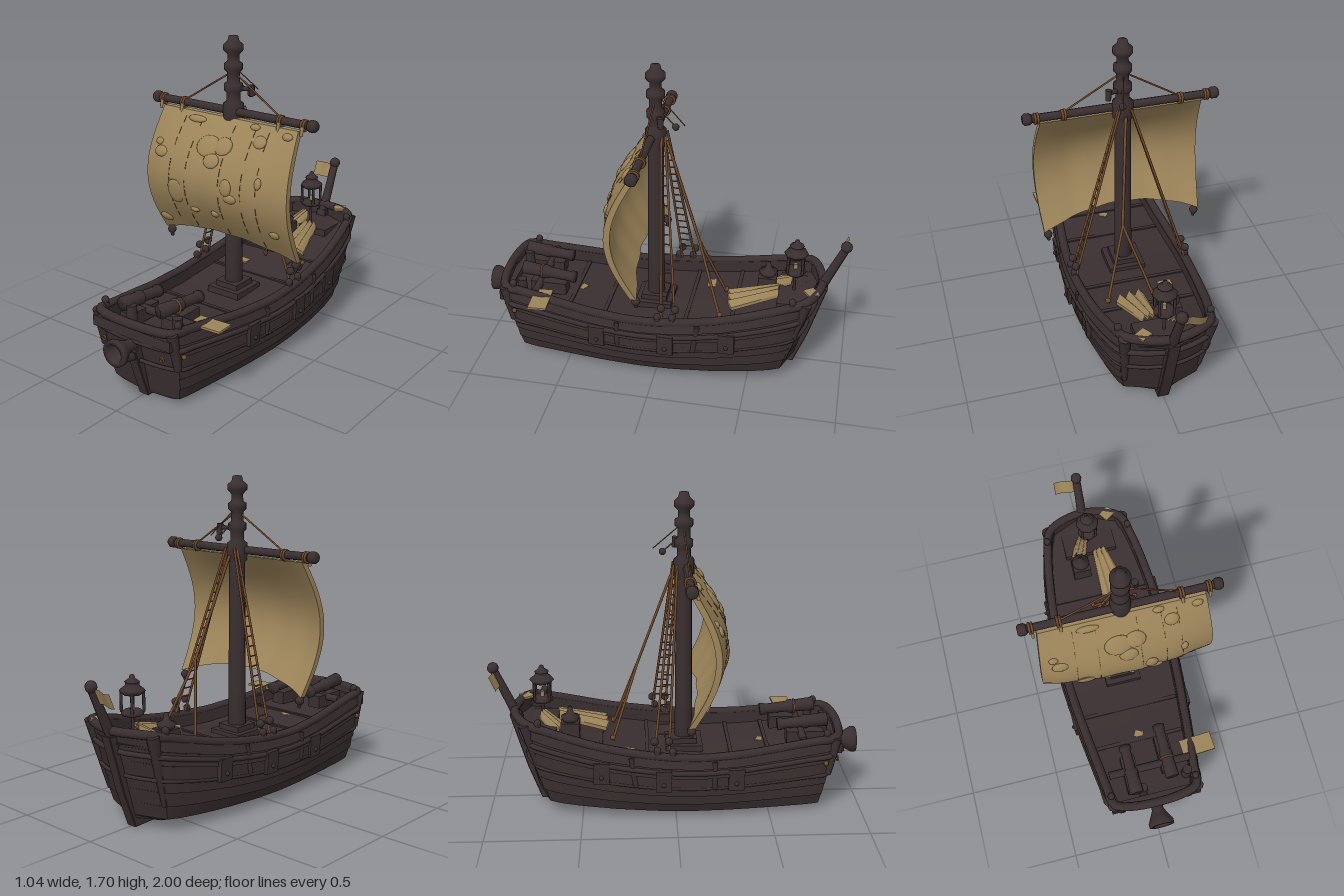
import * as THREE from 'three';

const V = (x, y, z) => new THREE.Vector3(x, y, z);
const lerp = THREE.MathUtils.lerp;

// Piecewise linear lookup in [t, value] pairs
function look(keys, t) {
  for (let i = 1; i < keys.length; i++) {
    const [a, va] = keys[i - 1], [b, vb] = keys[i];
    if (t <= b) return lerp(va, vb, (t - a) / (b - a));
  }
  return keys[keys.length - 1][1];
}

// Hull lines: half width and sheer from stern (0) to bow (1), flare from keel to rail
const WIDTH = [[0, .23], [.04, .26], [.12, .29], [.25, .32], [.4, .338], [.52, .338], [.65, .322], [.8, .295], [.96, .262], [1, .245]];
const SHEER = [[0, .53], [.1, .485], [.25, .42], [.4, .38], [.55, .36], [.7, .37], [.85, .4], [1, .43]];
const FLARE = [[0, .78], [.08, .87], [.25, .93], [.5, .98], [.75, 1.01], [1, .98]];
const width = t => look(WIDTH, t), sheer = t => look(SHEER, t);
const keel = t => .02 + .035 * (1 - t) ** 2;
const hullZ = (t, f) => lerp(lerp(-.67, -.79, f), lerp(.77, .85, f), t);
const hullPoint = (t, f, out = 0, s = 1) =>
  V(s * (width(t) * look(FLARE, f) + out), lerp(keel(t), sheer(t), f), hullZ(t, f));
const tAt = z => (z + .79) / 1.64;

function hullGeometry() {
  const pos = [];
  const quad = (flip, a, b, c, d) => {
    for (const p of flip ? [a, c, b, a, d, c] : [a, b, c, a, c, d]) pos.push(p.x, p.y, p.z);
  };
  // Half section: flat bottom, overlapping planks, rail and deck
  const section = (t, s) => {
    const p = [V(0, keel(t), hullZ(t, 0)), hullPoint(t, 0, -.03, s)];
    const steps = [.04, .2, .36, .52, .68, .84];
    steps.forEach((f, i) => p.push(hullPoint(t, f, .01, s), hullPoint(t, (steps[i + 1] ?? 1) - .005, .002, s)));
    const inner = hullPoint(t, 1, -.04, s), deck = inner.clone();
    deck.y -= .065;
    p.push(inner, deck, V(0, deck.y + .005, deck.z));
    return p;
  };
  const N = 32;
  for (const s of [1, -1]) {
    const rings = Array.from({ length: N + 1 }, (_, i) => section(i / N, s));
    for (let i = 0; i < N; i++)
      for (let j = 0; j < rings[0].length - 1; j++)
        quad(s < 0, rings[i][j], rings[i][j + 1], rings[i + 1][j + 1], rings[i + 1][j]);
    for (const [ring, bulge, bow] of [[rings[0], -.075, false], [rings[N], .02, true]])
      for (let j = 0; j < ring.length - 1; j++) {
        const a = ring[j], b = ring[j + 1];
        quad(bow !== s < 0, a, V(0, a.y, a.z + bulge), V(0, b.y, b.z + bulge), b);
      }
  }
  const g = new THREE.BufferGeometry();
  g.setAttribute('position', new THREE.Float32BufferAttribute(pos, 3));
  g.computeVertexNormals();
  return g;
}

// Point on the billowed sail, u across -1..1, v from foot to head 0..1
const sailPoint = (u, v) => V(
  u * (.425 + .03 * Math.sin(Math.PI * Math.min(1, v * .8 + .15))),
  1.285 - (1 - v) * (.7 - .085 * (1 - u * u)),
  .075 + (.13 + .025 * (1 - u * u)) * Math.sin(Math.PI * v) + (1 - v) * (.06 * (1 - u * u) + .004 * Math.sin(u * 14)));

export function createModel() {
  const root = new THREE.Group();
  const mat = (name, color, extra) => Object.assign(new THREE.MeshStandardMaterial({ color, ...extra }), { name });
  const timber = mat('dark timber', 0x3a2f30);
  const canvas = mat('canvas', 0x9c8459, { side: THREE.DoubleSide });
  const rope = mat('rope', 0x724b2c);
  const stitch = mat('stitching', 0x6f5b39);

  const add = (name, geo, m, p = [0, 0, 0], r = [0, 0, 0]) => {
    const mesh = new THREE.Mesh(geo, m);
    mesh.name = name;
    mesh.position.set(...p);
    mesh.rotation.set(...r);
    root.add(mesh);
    return mesh;
  };
  const box = (name, m, size, p, r) => add(name, new THREE.BoxGeometry(...size), m, p, r);
  const ball = (name, m, r, p) => add(name, new THREE.SphereGeometry(r, 10, 8), m, p);
  const rod = (name, m, a, b, r0, r1 = r0, sides = 8) => {
    const d = b.clone().sub(a);
    const mesh = add(name, new THREE.CylinderGeometry(r1, r0, d.length(), sides), m, a.clone().add(b).multiplyScalar(.5).toArray());
    mesh.quaternion.setFromUnitVectors(V(0, 1, 0), d.normalize());
  };
  const lathe = (name, m, pts, p, r, sides = 16) =>
    add(name, new THREE.LatheGeometry(pts.map(q => new THREE.Vector2(...q)), sides), m, p, r);

  // Hull with rail and wales running all the way round
  add('hull', hullGeometry(), timber);
  const band = (name, f, r, out) => {
    const pts = [];
    for (let i = 0; i <= 14; i++) pts.push(hullPoint(i / 14, f, out));
    for (let i = 14; i >= 0; i--) pts.push(hullPoint(i / 14, f, out, -1));
    pts.push(V(0, lerp(keel(0), sheer(0), f), hullZ(0, f) - .07));
    add(name, new THREE.TubeGeometry(new THREE.CatmullRomCurve3(pts, true, 'centripetal'), 120, r, 8, true), timber);
  };
  band('rail', 1, .024, -.015);
  band('upperWale', .77, .014, .002);
  band('lowerWale', .5, .01, .004);

  // Stem and rudder blades, each with a squared foot
  const blade = (name, pts) => {
    const shape = new THREE.Shape(pts.map(([z, y]) => new THREE.Vector2(-z, y)));
    add(name, new THREE.ExtrudeGeometry(shape, { depth: .056, bevelEnabled: true, bevelSize: .004, bevelThickness: .004, bevelSegments: 1 }),
      timber, [-.028, 0, 0], [0, Math.PI / 2, 0]);
  };
  blade('stem', [[.695, .008], [.795, .008], [.825, .1], [.88, .28], [.85, .32], [.75, .1], [.695, .04]]);
  blade('rudder', [[-.615, .012], [-.73, .008], [-.8, .2], [-.885, .5], [-.83, .5], [-.73, .12], [-.615, .055]]);

  // Hatches, straps and rail posts along both sides
  for (const s of [1, -1]) {
    for (const z of [.2, -.24]) {
      const t = tAt(z);
      rod('sideStrap', timber, hullPoint(t, .5, .004, s), hullPoint(t, .95, .002, s), .016, .016, 6);
    }
    for (const z of [.32, -.08, -.42]) {
      const p = hullPoint(tAt(z), .64, .008, s);
      box('sideHatch', timber, [.03, .12, .085], p.toArray(), [0, 0, -s * .05]);
      ball('hatchBolt', timber, .012, [p.x + s * .016, p.y - .02, p.z]);
    }
    for (const z of [-.72, -.1, -.02, .8]) {
      const p = hullPoint(tAt(z), 1, -.015, s);
      rod('railPost', timber, p, p.clone().add(V(0, .03, 0)), .02, .017);
      ball('railKnob', timber, .02, [p.x, p.y + .035, p.z]);
    }
    // Corner posts of bow and stern
    rod('bowCorner', timber, hullPoint(1, .5, 0, s), hullPoint(1, 1, 0, s), .02, .03);
    rod('sternCorner', timber, hullPoint(0, .2, -.01, s), hullPoint(0, 1, 0, s), .014, .033);
    add('bowRing', new THREE.TorusGeometry(.012, .005, 6, 12), rope, [s * .19, .29, .87]);
    ball('sideRopeKnot', rope, .013, hullPoint(tAt(.82), .68, .015, s).toArray());
  }

  // Deck beams, bow beam and mast step
  for (const z of [-.4, -.15, .3, .5]) {
    const t = tAt(z);
    box('deckBeam', timber, [2 * width(t) - .1, .01, .02], [0, sheer(t) - .06, z]);
  }
  box('bowBeam', timber, [.5, .055, .05], [0, .375, .855]);
  box('mastStepBase', timber, [.2, .04, .2], [0, .315, .05]);
  box('mastStep', timber, [.14, .05, .14], [0, .34, .05]);

  // Bow trumpet muzzle, open toward the front
  lathe('bowMuzzle', timber, [[.03, 0], [.034, .05], [.055, .09], [.07, .115], [.07, .14], [.048, .14], [.035, .09], [0, .08]],
    [0, .315, .86], [Math.PI / 2, 0, 0]);
  rod('muzzleBrace', timber, V(0, .25, .85), V(0, .265, .94), .028, .024);

  // Deck guns at the bow
  for (const [x, z, len] of [[-.1, .55, .27], [.11, .48, .3]]) {
    lathe('deckGun', timber, [[0, 0], [.033, 0], [.033, .025], [.027, .03], [.03, len * .5], [.037, len * .52], [.037, len * .6], [.033, len * .62], [.038, len], [0, len]],
      [x, .455, z], [Math.PI / 2 - .1, 0, 0]);
    box('gunCarriage', timber, [.08, .07, .2], [x, .39, z + .15]);
  }
  add('gunRope', new THREE.TorusGeometry(.036, .006, 6, 16), rope, [.11, .472, .67]);
  rod('gunCrossbar', timber, V(-.22, .41, .68), V(.24, .41, .68), .022);
  rod('bowBollard', timber, V(-.06, .37, .8), V(-.06, .48, .8), .03, .026);
  rod('bowBollard', timber, V(.2, .37, .76), V(.2, .47, .76), .03, .026);

  // Mast with collars and cap
  lathe('mast', timber, [[0, .3], [.05, .3], [.046, .6], [.042, 1.25], [.055, 1.265], [.055, 1.35], [.036, 1.365], [.036, 1.41], [.048, 1.42],
    [.048, 1.455], [.033, 1.465], [.033, 1.515], [.048, 1.53], [.048, 1.56], [.032, 1.57], [.03, 1.605], [.052, 1.63], [.052, 1.655],
    [.03, 1.675], [.024, 1.7], [0, 1.705]], [0, 0, .05]);

  // Yard with end knobs and lashings
  rod('yard', timber, V(-.51, 1.315, .065), V(.51, 1.315, .065), .022);
  for (const s of [1, -1]) {
    lathe('yardEnd', timber, [[0, 0], [.024, 0], [.031, .012], [.031, .036], [.022, .048], [0, .048]], [s * .472, 1.315, .065], [0, 0, -s * Math.PI / 2]);
    for (const x of [.31, .45]) {
      for (const o of [-.01, .004])
        add('yardLashing', new THREE.TorusGeometry(.025, .007, 6, 14), rope, [s * x + o, 1.312, .065], [0, Math.PI / 2, 0]);
      rod('sailTie', canvas, V(s * x, 1.31, .088), V(s * x, 1.265, .1), .01, .008, 6);
    }
    rod('yardLift', rope, V(0, 1.52, .05), V(s * .31, 1.325, .065), .005, .005, 5);
    ball('sailWeight', timber, .024, [s * .418, .565, .07]);
    rod('sailWeightTail', timber, V(s * .418, .56, .07), V(s * .415, .525, .07), .016, .008);
  }

  // Billowed sail
  const sail = new THREE.BoxGeometry(2, 1, .034, 28, 24, 1), q = sail.attributes.position;
  for (let i = 0; i < q.count; i++) {
    const p = sailPoint(q.getX(i), q.getY(i) + .5);
    q.setXYZ(i, p.x, p.y, p.z + q.getZ(i));
  }
  sail.computeVertexNormals();
  add('sail', sail, canvas);

  // Worn cloth patches (u, v, half width, half height) and dashed seams
  const onSail = (name, geo, m, u, v, lift) => {
    const a = sailPoint(u, Math.max(0, v - .03)), b = sailPoint(u, Math.min(1, v + .03)), p = sailPoint(u, v);
    return add(name, geo, m, [p.x, p.y, p.z + lift], [Math.atan2(b.z - a.z, b.y - a.y), 0, 0]);
  };
  for (const [u, v, w, h] of [[-.78, .68, .045, .03], [-.5, .37, .055, .07], [.25, .5, .035, .045], [.3, .41, .04, .025], [-.42, .95, .06, .02],
    [.42, .97, .03, .018], [.55, .88, .04, .035], [-.85, .1, .045, .03], [.8, .2, .03, .025], [-.85, .75, .025, .02],
    [-.1, .78, .075, .06], [.1, .8, .055, .05], [0, .68, .05, .04], [.65, .6, .02, .03], [.05, .22, .025, .02], [-.25, .22, .03, .015], [.88, .95, .03, .02]])
    onSail('sailPatch', new THREE.SphereGeometry(1, 12, 8), canvas, u, v, .016).scale.set(w, h, .014);
  for (const u of [-.6, -.34, .15, .44, .63])
    for (let k = 0; k < 12; k++)
      if ((k * 5 + Math.round(u * 100)) % 4 !== 0)
        onSail('sailStitch', new THREE.BoxGeometry(.003, .04, .004), stitch, u, .05 + k * .08, .0175);

  // Shroud ladders on both sides
  for (const s of [1, -1]) {
    const ends = [[V(s * .03, 1.33, .015), V(s * .31, .39, -.04)], [V(s * .03, 1.33, -.005), V(s * .31, .39, -.115)]];
    for (const [a, b] of ends) {
      rod('shroud', rope, a, b, .007, .007, 6);
      ball('deadeye', timber, .022, [b.x, b.y + .07, b.z]);
    }
    for (let k = 2; k < 18; k++)
      rod('shroudRung', rope, ends[0][0].clone().lerp(ends[0][1], k / 19), ends[1][0].clone().lerp(ends[1][1], k / 19), .004, .004, 5);
  }

  // Backstay forking to two deck points
  const fork = V(.07, .75, -.2);
  rod('backstay', rope, V(0, 1.29, -.01), fork, .008, .008, 6);
  for (const x of [-.06, .19]) {
    rod('backstayLeg', rope, fork, V(x, .36, -.335), .008, .008, 6);
    ball('stayKnot', rope, .014, [x, .375, -.335]);
  }

  // Masthead arm and hanging block
  rod('blockArm', timber, V(0, 1.43, .04), V(.085, 1.43, .01), .012);
  rod('armPeg', timber, V(.083, 1.45, .01), V(.088, 1.395, .005), .018, .015);
  ball('block', timber, .019, [.03, 1.385, -.06]);
  rod('blockLine', rope, V(0, 1.53, .03), V(.04, 1.4, -.11), .003, .003, 5);
  rod('blockLine', rope, V(.01, 1.46, .02), V(.03, 1.385, -.06), .004, .004, 5);

  // Stern lantern on a slim spike
  const L = [0, .58, -.71];
  rod('lanternSpike', timber, V(0, .44, -.71), V(0, .58, -.71), .008);
  lathe('lanternBase', timber, [[0, -.005], [.055, -.005], [.058, .01], [.045, .02], [0, .022]], L, [0, 0, 0], 8);
  lathe('lanternRoof', timber, [[0, .1], [.05, .1], [.066, .115], [.06, .125], [.035, .145], [.035, .16], [.04, .162], [.015, .18], [.012, .195], [0, .2]], L, [0, 0, 0], 8);
  for (let i = 0; i < 4; i++) {
    const a = (i + .5) * Math.PI / 2, x = Math.cos(a) * .055, z = L[2] + Math.sin(a) * .055;
    rod('lanternBar', timber, V(x, .59, z), V(x, .69, z), .008, .008, 6);
  }
  rod('candle', canvas, V(0, .595, -.71), V(0, .63, -.71), .012, .01);

  // Raked stern pole with pennant
  rod('sternPole', timber, V(0, .47, -.84), V(0, .755, -.965), .028, .022);
  ball('poleKnob', timber, .031, [0, .765, -.967]);
  const flag = new THREE.PlaneGeometry(.115, .085, 6, 1), fp = flag.attributes.position;
  for (let i = 0; i < fp.count; i++) fp.setZ(i, .008 * Math.sin(fp.getX(i) * 50));
  flag.computeVertexNormals();
  add('pennant', flag, canvas, [-.075, .715, -.953], [-.4, 0, 0]);

  // Stern chest with bowl
  box('sternChest', timber, [.1, .11, .1], [-.08, .435, -.56]);
  lathe('sternBowl', timber, [[0, 0], [.04, 0], [.05, .025], [.02, .04], [.01, .08], [0, .08]], [-.08, .49, -.56]);
  box('sternStep', timber, [.3, .04, .14], [0, .445, -.7]);

  // Draped cloth: folded sheets widening toward the deck
  for (const [x, y, z, narrow, wide, len, ry] of [[.065, .455, -.5, .08, .16, .26, .13], [-.06, .485, -.66, .06, .09, .11, -.5]]) {
    const cloth = new THREE.BoxGeometry(1, .02, len, 12, 1, 4), c = cloth.attributes.position;
    for (let i = 0; i < c.count; i++) {
      const k = c.getZ(i) / len + .5, u = c.getX(i);
      c.setXYZ(i, u * lerp(narrow, wide, k), c.getY(i) + .012 * Math.cos(u * 19) - .07 * (k - .5) - .04 * u * u, c.getZ(i) + .01 * Math.cos(u * 19) * k);
    }
    cloth.computeVertexNormals();
    add('drapedCloth', cloth, canvas, [x, y, z], [0, ry, 0]);
  }

  // Loose boards on deck and rail
  box('looseBoard', canvas, [.18, .012, .1], [.295, .412, .63], [0, .06, 0]);
  box('looseBoard', canvas, [.075, .01, .045], [-.155, .335, -.24]);
  box('looseBoard', canvas, [.045, .01, .035], [.005, .32, .47], [0, -.5, 0]);
  box('looseBoard', canvas, [.07, .012, .06], [.14, .548, -.81], [0, .6, 0]);

  return root;
}
